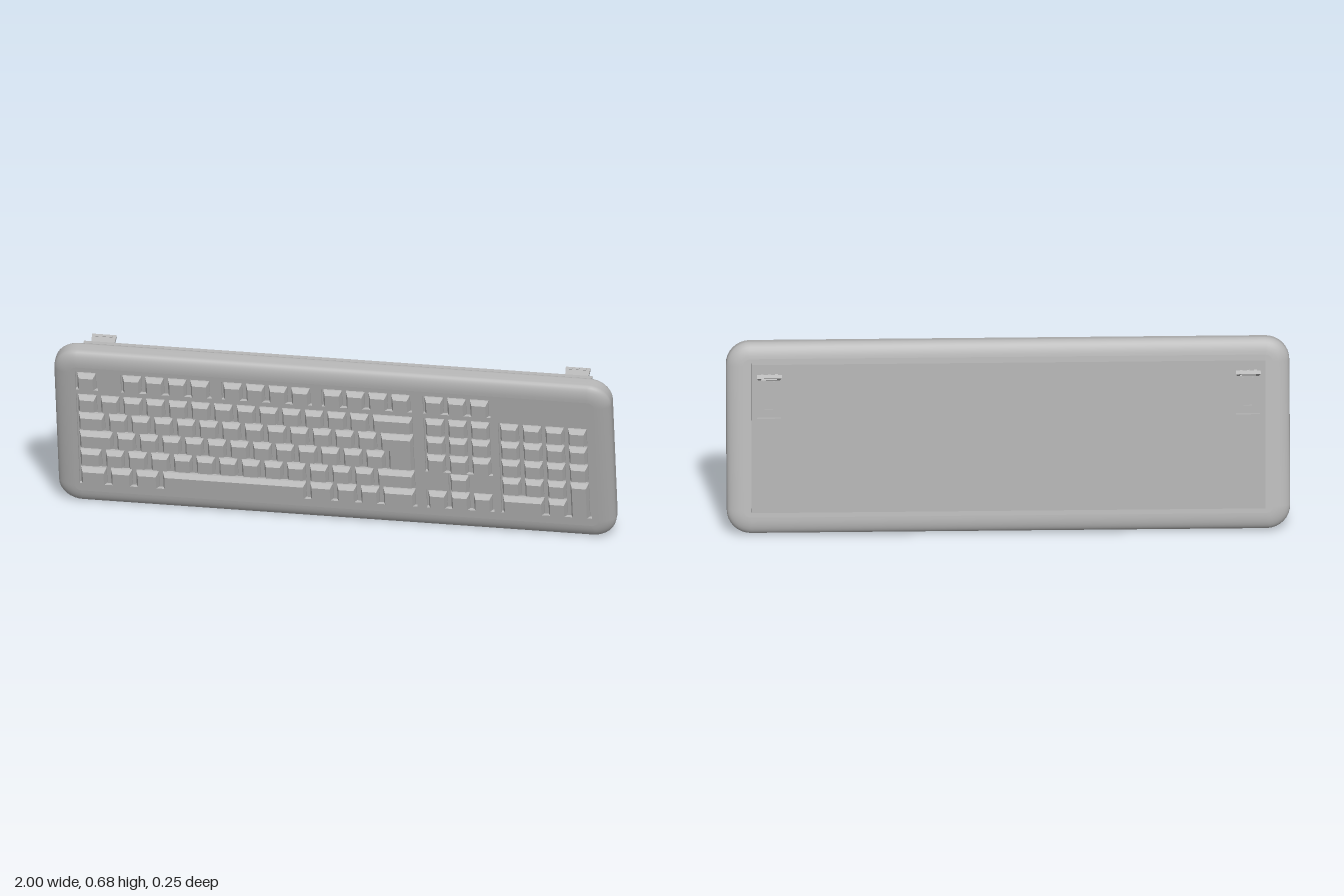
import * as THREE from 'three';

const grey = new THREE.MeshStandardMaterial({ color: 0xb3b3b3 });
grey.name = 'grey plastic';

const HALF = 0.045;          // half thickness of the case
const LEN = 0.69;            // case height along its slope
const WELL = 0.012;          // depth of the key wells
const U = 0.0813, GAP = 0.0155, X0 = -0.914;   // key pitch, gap, left edge
const KEY_H = 0.068;
const rowY = r => (r === 0 ? 0.225 : 0.04 - 0.0835 * (r - 2));

function add(parent, name, geometry) {
  const mesh = new THREE.Mesh(geometry, grey);
  mesh.name = name;
  parent.add(mesh);
  return mesh;
}

const toShape = (pts, Type = THREE.Shape) => new Type(pts.map(p => new THREE.Vector2(p[0], p[1])));
const rect = (x0, x1, y0, y1) => [[x0, y0], [x1, y0], [x1, y1], [x0, y1]];

// Counter-clockwise outline of the case, pulled in by an inset
function outline(inset) {
  const r = 0.085 - inset, pts = [], n = 8;
  const cx = 1 - 0.085, cy = LEN / 2 - 0.085;
  [[1, 1], [-1, 1], [-1, -1], [1, -1]].forEach(([sx, sy], q) => {
    for (let i = 0; i <= n; i++) {
      const a = (q + i / n) * Math.PI / 2;
      pts.push([sx * cx + r * Math.cos(a), sy * cy + r * Math.sin(a)]);
    }
  });
  return pts;
}

// Rounded rim lofted through inset outlines from front to back
function rimGeometry(inset, round) {
  const profile = [], n = 8;
  for (let i = 0; i <= n; i++) {
    const a = i / n * Math.PI / 2;
    profile.push([inset * (1 - Math.sin(a)), HALF - round * (1 - Math.cos(a))]);
  }
  const all = [...profile, ...profile.slice().reverse().map(([d, z]) => [d, -z])];
  const pos = [], idx = [];
  let count = 0;
  all.forEach(([d, z], k) => {
    const loop = outline(d);
    count = loop.length;
    loop.forEach(p => pos.push(p[0], p[1], z));
    if (!k) return;
    for (let j = 0; j < count; j++) {
      const j2 = (j + 1) % count, a = (k - 1) * count, c = k * count;
      idx.push(a + j, c + j, a + j2, a + j2, c + j, c + j2);
    }
  });
  const g = new THREE.BufferGeometry();
  g.setAttribute('position', new THREE.Float32BufferAttribute(pos, 3));
  g.setIndex(idx);
  g.computeVertexNormals();
  return g;
}

// Tapered key cap from a flat outline
function addKey(parent, pts) {
  const g = new THREE.ExtrudeGeometry(toShape(pts), {
    depth: 0.012, bevelThickness: 0.022, bevelSize: 0.008, bevelOffset: -0.008, bevelSegments: 1,
  });
  add(parent, 'key', g).position.z = HALF + 0.019 - 0.022 - 0.012;
}

// Left and right edges of a key, measured in key pitches
const span = (s, w) => [X0 + s * U, X0 + (s + w) * U - GAP];
const low = r => rowY(r) - KEY_H / 2, high = r => rowY(r) + KEY_H / 2;

function buildKeys() {
  const keys = new THREE.Group();
  keys.name = 'keys';
  const key = (r, s, w = 1, rEnd = r) => addKey(keys, rect(...span(s, w), low(rEnd), high(r)));
  const run = (r, s, widths) => widths.forEach(w => { key(r, s, w); s += w; });
  const ones = n => Array(n).fill(1);

  // Top row
  key(0, 0);
  [2, 6.45, 10.86].forEach(s => run(0, s, ones(4)));
  run(0, 15.33, ones(3));
  // Main block
  run(1, 0, [...ones(13), 1.93]);
  run(2, 0, [1.32, ...ones(12)]);
  run(3, 0, [1.65, ...ones(12)]);
  run(4, 0, [1.12, ...ones(12), 1.81]);
  run(5, 0, [1.31, 1.12, 1.18, 6.5, 1.18, 1.05, 1, 1.59]);
  // Stepped key across two rows
  const [l, r] = span(13.32, 1.61), [step] = span(13.65, 1);
  addKey(keys, [[step, low(3)], [r, low(3)], [r, high(2)], [l, high(2)], [l, low(2)], [step, low(2)]]);
  // Navigation block and arrows
  [1, 2, 3, 5].forEach(row => run(row, 15.33, ones(3)));
  key(4, 16.33);
  // Number pad
  [1, 2, 3].forEach(row => run(row, 18.62, ones(4)));
  run(4, 18.62, ones(3));
  run(5, 18.62, [2, 1]);
  key(4, 21.62, 1, 5);
  return keys;
}

// Openings in the front face around each block of keys
function wellOutlines() {
  const m = 0.007;
  const well = (s, w, r0, r1) => {
    const [a, b] = span(s, w);
    return rect(a - m, b + m, low(r1) - m, high(r0) + m);
  };
  const [a, b] = span(15.33, 3), [c, d] = span(16.33, 1);
  const y0 = low(5) - m, y1 = high(5) + m, y2 = high(4) + 0.004;
  const arrows = [[a - m, y0], [b + m, y0], [b + m, y1], [d + m, y1],
    [d + m, y2], [c - m, y2], [c - m, y1], [a - m, y1]];
  return [
    well(0, 1, 0, 0), well(2, 4, 0, 0), well(6.45, 4, 0, 0), well(10.86, 4, 0, 0),
    well(15.33, 3, 0, 0), well(0, 14.93, 1, 5), well(15.33, 3, 1, 3), well(18.62, 4, 1, 5), arrows,
  ];
}

// Fold-out foot: a flared tray, hollow underneath
function buildFoot() {
  const foot = new THREE.Group();
  foot.name = 'foot';
  const plan = () => toShape([[-0.038, -0.012], [0.038, -0.012], [0.044, 0.08], [-0.044, 0.08]]);
  const frame = plan();
  frame.holes.push(toShape(rect(-0.028, 0.028, 0.008, 0.068), THREE.Path));
  const slab = (name, shape, depth, y) => {
    const g = new THREE.ExtrudeGeometry(shape, { depth, bevelEnabled: false });
    add(foot, name, g.rotateX(-Math.PI / 2)).position.y = y;
  };
  slab('footFrame', frame, 0.009, -0.007);
  slab('footPlate', plan(), 0.004, 0.002);
  // Grip ridges at the tip
  for (const x of [-0.025, 0, 0.025]) {
    add(foot, 'footGrip', new THREE.BoxGeometry(0.01, 0.004, 0.008)).position.set(x, 0.007, -0.072);
  }
  return foot;
}

// Wedge on the back with two foot pockets
function buildWedge() {
  const wedge = new THREE.Group();
  wedge.name = 'backWedge';
  const W = 0.912, H = 0.55, D = 0.014;
  const panel = toShape(rect(-W, W, 0, H));
  for (const s of [-1, 1]) {
    panel.holes.push(toShape(rect(s * 0.85 - 0.043, s * 0.85 + 0.043, 0.35, 0.515), THREE.Path));
  }
  add(wedge, 'backPanel', new THREE.ExtrudeGeometry(panel, { depth: D, bevelEnabled: false }));
  // Triangular core behind the panel
  const core = new THREE.ExtrudeGeometry(toShape([[-0.08, H], [-D, 0], [-D, H]]),
    { depth: 2 * W, bevelEnabled: false });
  add(wedge, 'wedgeCore', core.rotateY(Math.PI / 2)).position.x = -W;

  for (const s of [-1, 1]) {
    const foot = buildFoot();
    foot.position.set(s * 0.85, 0.5, 0);
    foot.rotation.x = THREE.MathUtils.degToRad(21.5);
    wedge.add(foot);
    // Ribs inside the pocket
    for (const x of [-0.018, 0.018]) {
      add(wedge, 'pocketRib', new THREE.BoxGeometry(0.006, 0.12, 0.008)).position.set(s * 0.85 + x, 0.425, 0.011);
    }
    add(wedge, 'pocketCatch', new THREE.BoxGeometry(0.03, 0.012, 0.01)).position.set(s * 0.85, 0.375, 0.01);
  }
  wedge.position.set(0, 0.088, -0.0985);
  wedge.rotation.x = THREE.MathUtils.degToRad(5.5);
  return wedge;
}

export function createModel() {
  const model = new THREE.Group();
  model.name = 'keyboard';

  const board = new THREE.Group();
  board.name = 'board';
  board.position.set(0, 0.34, 0.005);
  board.rotation.x = THREE.MathUtils.degToRad(12.6);
  model.add(board);

  // Case
  const INSET = 0.06;
  add(board, 'caseRim', rimGeometry(INSET, 0.03));
  const face = toShape(outline(INSET));
  wellOutlines().forEach(w => face.holes.push(toShape(w, THREE.Path)));
  add(board, 'caseFront', new THREE.ExtrudeGeometry(face, { depth: WELL, bevelEnabled: false }))
    .position.z = HALF - WELL;
  add(board, 'wellFloor', new THREE.ShapeGeometry(toShape(outline(INSET)))).position.z = HALF - WELL;
  const back = add(board, 'caseBack', new THREE.ShapeGeometry(toShape(outline(INSET))));
  back.rotation.y = Math.PI;
  back.position.z = -HALF;

  board.add(buildKeys());
  model.add(buildWedge());
  return model;
}
